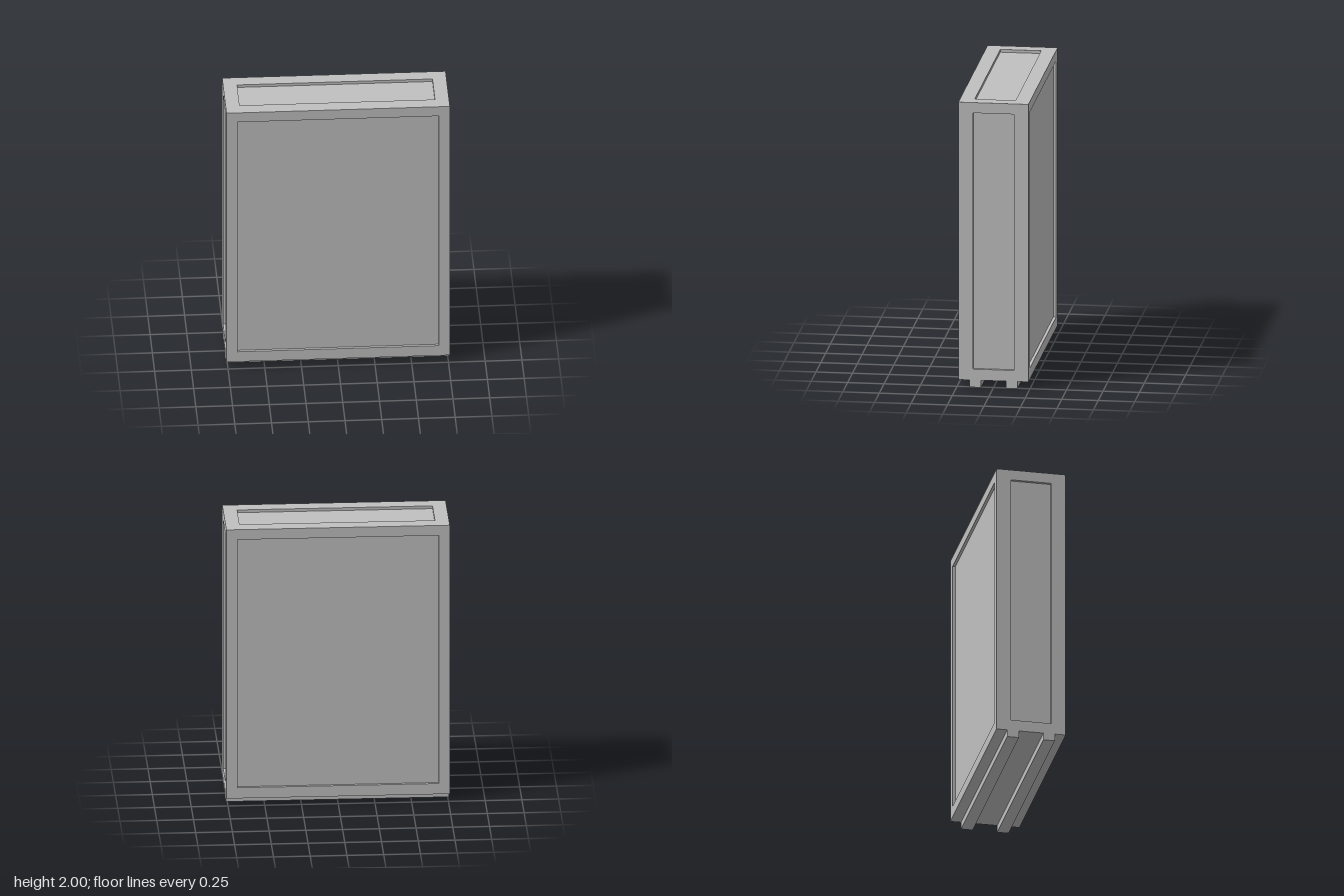
import * as THREE from 'three';

export function createModel() {
  const group = new THREE.Group();
  const grey = new THREE.MeshStandardMaterial({ color: 0xc0c0c0 });
  grey.name = 'plain grey';

  const W = 1.52, D = 0.48, BOTTOM = 0.05, TOP = 2, T = 0.02; // T: recess depth
  const H = TOP - BOTTOM, MID = (TOP + BOTTOM) / 2;

  function add(name, geometry, x, y, z) {
    const mesh = new THREE.Mesh(geometry, grey);
    mesh.name = name;
    mesh.position.set(x, y, z);
    group.add(mesh);
    return mesh;
  }

  // Flat rectangular frame, T thick, facing +z from z = 0
  function frame(w, h, holeW, holeH, holeY = 0) {
    const shape = new THREE.Shape();
    shape.moveTo(-w / 2, -h / 2).lineTo(w / 2, -h / 2).lineTo(w / 2, h / 2).lineTo(-w / 2, h / 2).closePath();
    const hole = new THREE.Path();
    const a = holeW / 2, b = holeY - holeH / 2, c = holeY + holeH / 2;
    hole.moveTo(-a, b).lineTo(-a, c).lineTo(a, c).lineTo(a, b).closePath();
    shape.holes.push(hole);
    return new THREE.ExtrudeGeometry(shape, { depth: T, bevelEnabled: false });
  }

  // Body whose faces form the recessed panels
  add('body', new THREE.BoxGeometry(W - 2 * T, H - T, D - 2 * T), 0, MID - T / 2, 0);

  const panelH = 1.8, panelY = 1.025 - MID + 0.002;
  for (const s of [1, -1]) {
    // Large front and back frames
    const face = add(s > 0 ? 'frontFrame' : 'backFrame', frame(W, H, 1.37, panelH, panelY), 0, MID, s * (D / 2 - T));
    face.rotation.y = s > 0 ? 0 : Math.PI;

    // Narrow side frames between them
    const side = add(s > 0 ? 'leftFrame' : 'rightFrame', frame(D - 2 * T, H, 0.28, panelH, panelY), s * (W / 2 - T), MID, 0);
    side.rotation.y = s * Math.PI / 2;

    // Runners under the base
    add(s > 0 ? 'frontRunner' : 'backRunner', new THREE.BoxGeometry(W, BOTTOM, 0.08), 0, BOTTOM / 2, s * 0.125);
  }

  // Top frame
  const lid = add('topFrame', frame(W - 2 * T, D - 2 * T, 1.33, 0.28), 0, TOP - T, 0);
  lid.rotation.x = -Math.PI / 2;

  return group;
}
